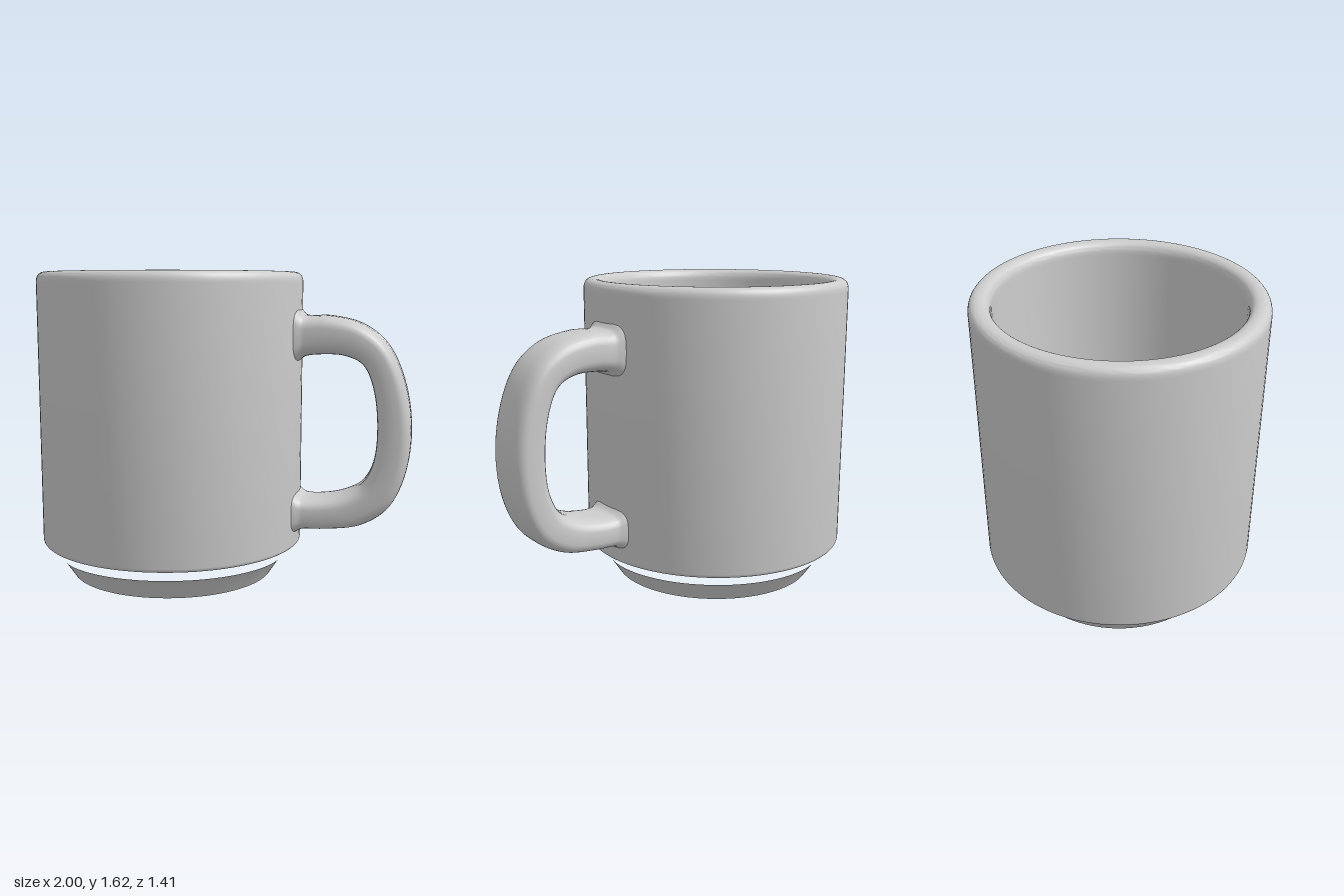
import * as THREE from 'three';
import { toCreasedNormals } from 'three/addons/utils/BufferGeometryUtils.js';

const CENTRE_X = -0.293; // axis of the cup
const glaze = new THREE.MeshStandardMaterial({ color: 0xcccccc });
glaze.name = 'grey glaze';

function turned(path, name) {
  const lathe = new THREE.LatheGeometry(path.getPoints(10), 96);
  const mesh = new THREE.Mesh(toCreasedNormals(lathe, 0.6), glaze);
  mesh.name = name;
  mesh.position.x = CENTRE_X;
  return mesh;
}

// Outer wall, rounded rim, inner wall and floor
function cupProfile() {
  const p = new THREE.Path();
  p.moveTo(0.64, 0.18);
  p.lineTo(0.685, 0.18);
  p.quadraticCurveTo(0.707, 0.18, 0.707, 0.205);
  p.lineTo(0.707, 1.565);
  p.quadraticCurveTo(0.707, 1.622, 0.655, 1.622);
  p.quadraticCurveTo(0.602, 1.622, 0.602, 1.56);
  p.lineTo(0.602, 0.33);
  p.quadraticCurveTo(0.602, 0.23, 0.51, 0.23);
  p.lineTo(0, 0.23);
  return p;
}

// Hollow underside, standing ring and flared outer side
function footProfile() {
  const p = new THREE.Path();
  p.moveTo(0, 0.148);
  p.lineTo(0.3, 0.145);
  p.quadraticCurveTo(0.42, 0.13, 0.465, 0);
  p.lineTo(0.545, 0);
  p.lineTo(0.605, 0.09);
  p.quadraticCurveTo(0.625, 0.118, 0.68, 0.135);
  return p;
}

// Handle lofted between an outer and an inner edge curve, from top to bottom
function handleGeometry() {
  const curve = (pts) => new THREE.CatmullRomCurve3(pts.map(([x, y]) => new THREE.Vector3(x, y, 0)));
  const outer = curve([[0.37, 1.47], [0.405, 1.435], [0.44, 1.402], [0.56, 1.4], [0.73, 1.36], [0.86, 1.26],
    [0.95, 1.08], [0.995, 0.82], [0.965, 0.57], [0.88, 0.4], [0.74, 0.31], [0.56, 0.282], [0.44, 0.274],
    [0.405, 0.255], [0.37, 0.225]]);
  const inner = curve([[0.37, 1.13], [0.405, 1.16], [0.44, 1.187], [0.54, 1.2], [0.65, 1.193], [0.74, 1.15],
    [0.795, 1.03], [0.82, 0.82], [0.802, 0.64], [0.745, 0.53], [0.65, 0.475], [0.54, 0.45], [0.44, 0.45],
    [0.405, 0.475], [0.37, 0.505]]);
  const rows = 84, sides = 32, pos = [], index = [];
  const squash = (v) => Math.sign(v) * Math.pow(Math.abs(v), 0.6);
  for (let i = 0; i <= rows; i++) {
    const t = i / rows;
    const a = outer.getPoint(t), b = inner.getPoint(t);
    const mid = a.clone().add(b).multiplyScalar(0.5), half = a.clone().sub(mid);
    const halfWidth = 0.15 + 0.02 * Math.max(0, 1 - 7 * Math.min(t, 1 - t));
    for (let j = 0; j < sides; j++) {
      const angle = (j / sides) * Math.PI * 2;
      const c = squash(Math.cos(angle)), s = squash(Math.sin(angle));
      pos.push(mid.x + half.x * c, mid.y + half.y * c, halfWidth * s);
      if (i < rows) {
        const k = (j + 1) % sides, r = i * sides, n = r + sides;
        index.push(r + j, r + k, n + j, r + k, n + k, n + j);
      }
    }
  }
  const g = new THREE.BufferGeometry();
  g.setAttribute('position', new THREE.Float32BufferAttribute(pos, 3));
  g.setIndex(index);
  g.computeVertexNormals();
  return g;
}

export function createModel() {
  const group = new THREE.Group();
  group.name = 'mug';
  const handle = new THREE.Mesh(handleGeometry(), glaze);
  handle.name = 'handle';
  group.add(turned(cupProfile(), 'cup'), turned(footProfile(), 'foot'), handle);
  return group;
}
